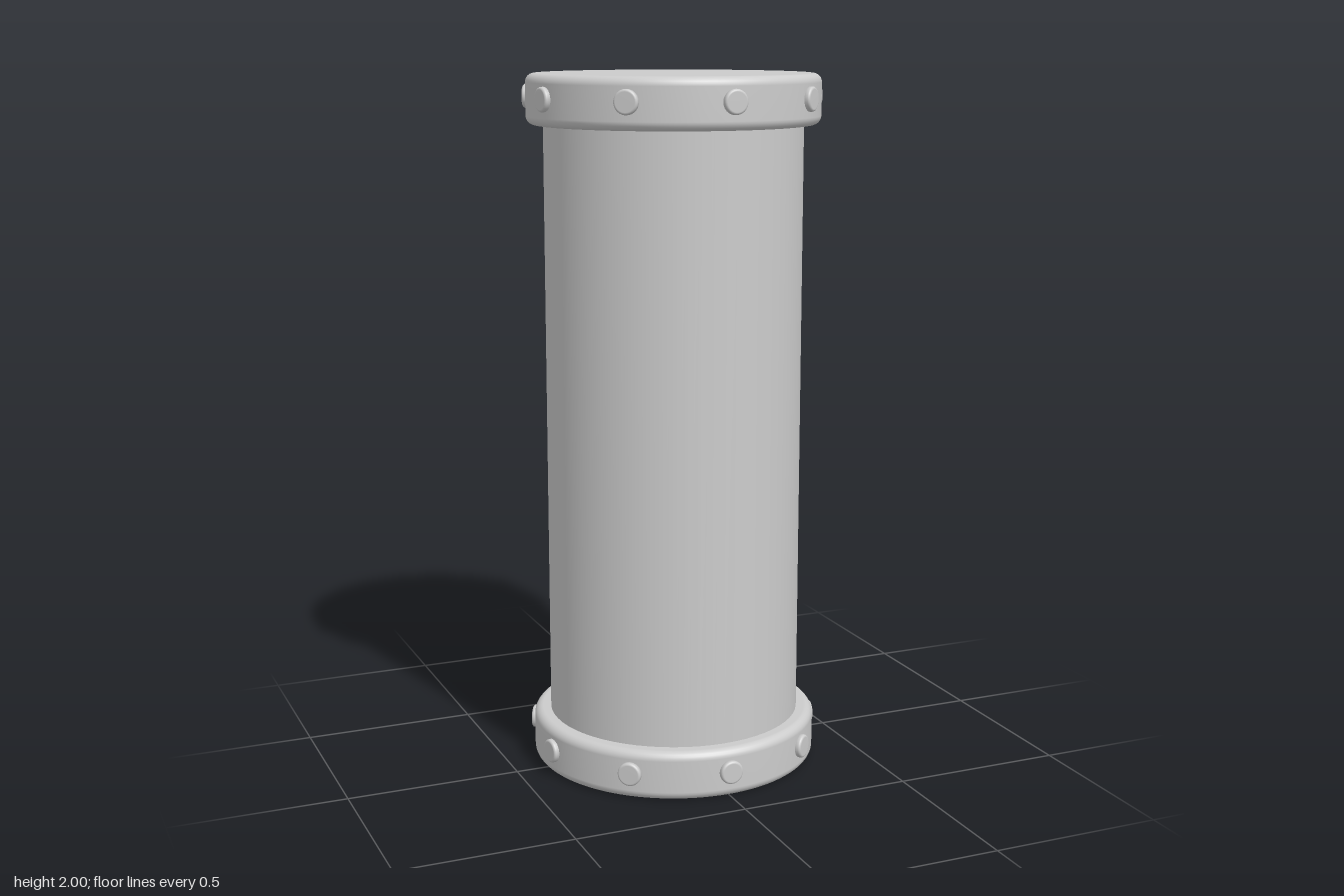
import * as THREE from 'three';

const material = new THREE.MeshStandardMaterial({ color: 0xcccccc });

// Solid disc profile from bottom centre to top centre, with rounded rims
function roundedDisc(radius, y0, y1, filletBottom, filletTop, segments) {
  const points = [new THREE.Vector2(0, y0)];
  const arc = (fillet, cy, start) => {
    if (!fillet) return points.push(new THREE.Vector2(radius, cy));
    for (let i = 0; i <= 6; i++) {
      const a = start + (i / 6) * Math.PI / 2;
      points.push(new THREE.Vector2(radius - fillet + Math.cos(a) * fillet, cy + Math.sin(a) * fillet));
    }
  };
  arc(filletBottom, y0 + filletBottom, -Math.PI / 2);
  arc(filletTop, y1 - filletTop, 0);
  points.push(new THREE.Vector2(0, y1));
  return new THREE.LatheGeometry(points, segments);
}

export function createModel() {
  const model = new THREE.Group();
  const add = (parent, name, geometry) => {
    const mesh = new THREE.Mesh(geometry, material);
    mesh.name = name;
    parent.add(mesh);
    return mesh;
  };

  // Main cylinder
  add(model, 'body', new THREE.CylinderGeometry(0.367, 0.367, 1.76, 64, 1, true)).position.y = 1;

  // End caps, each ringed by nine rivets
  const capHeight = 0.142;
  const capGeometry = roundedDisc(0.415, 0, capHeight, 0.025, 0.025, 96);
  const rivetGeometry = roundedDisc(0.034, 0, 0.03, 0, 0.007, 24);
  rivetGeometry.rotateX(Math.PI / 2);
  for (const [name, y] of [['bottom', 0], ['top', 2 - capHeight]]) {
    const cap = new THREE.Group();
    cap.name = name + 'Cap';
    cap.position.y = y;
    add(cap, name + 'CapDisc', capGeometry);
    for (let i = 0; i < 9; i++) {
      const angle = (i / 9) * Math.PI * 2;
      const rivet = add(cap, name + 'Rivet' + (i + 1), rivetGeometry);
      rivet.position.set(Math.sin(angle) * 0.399, 0.076, Math.cos(angle) * 0.399);
      rivet.rotation.y = angle;
    }
    model.add(cap);
  }

  // Centre the bounds, which the uneven rivet ring shifts slightly
  for (const part of model.children) {
    part.position.x -= 0.002;
    part.position.z -= 0.008;
  }
  return model;
}
